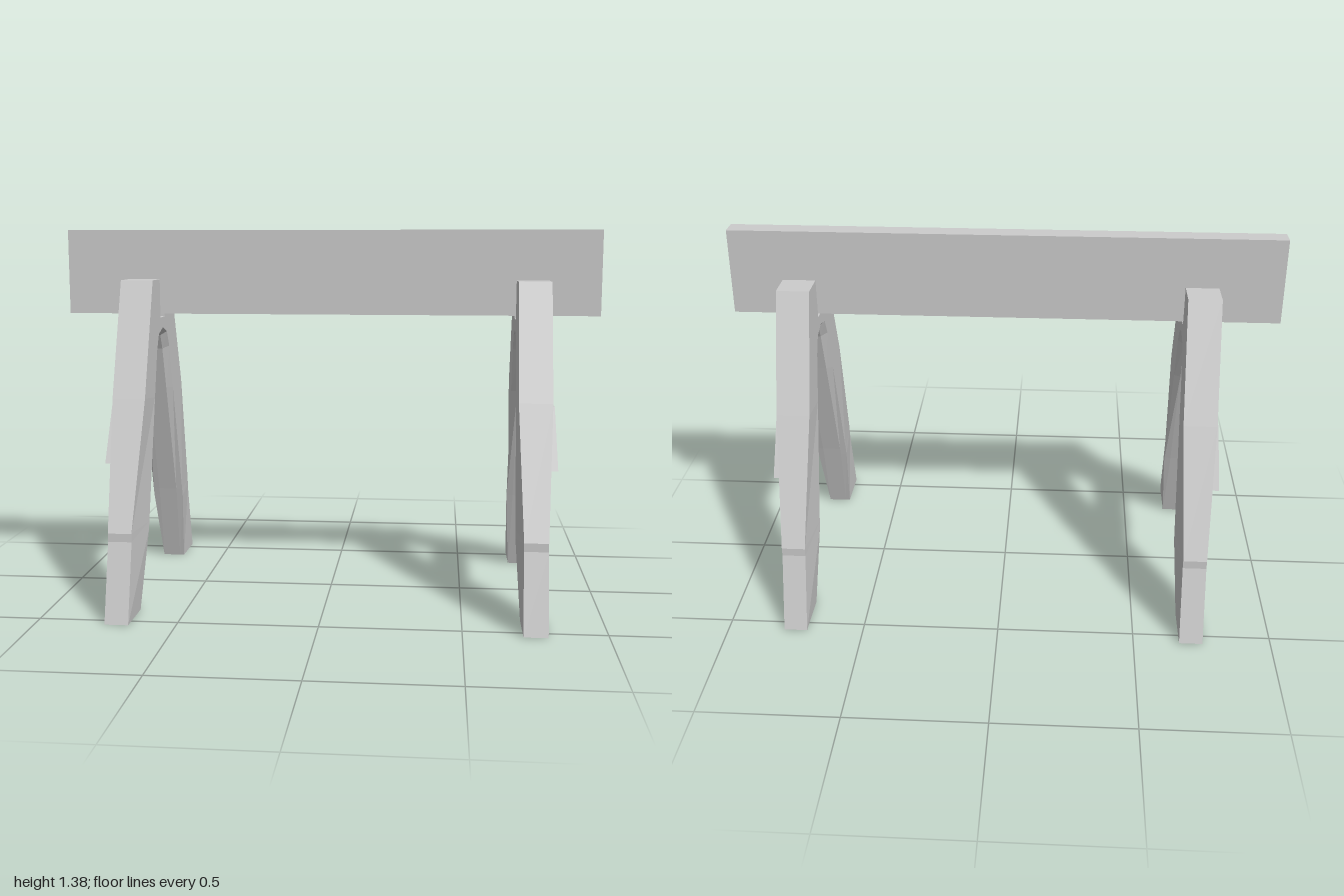
import * as THREE from 'three';

const material = new THREE.MeshStandardMaterial({ color: 0xcccccc, flatShading: true });

// Half of the A-frame, foot to centre: outer edge (z, y, half width), inner edge (z, y, half width), inner ridge (z, y)
const half = [
  { out: [0.545, 0, 0.0425], inn: [0.37, 0, 0.0425], ridge: [0.37, 0] },
  { out: [0.47, 0.28, 0.0425], inn: [0.288, 0.28, 0.06], ridge: [0.286, 0.28] },
  { out: [0.47, 0.31, 0.0425], inn: [0.279, 0.31, 0.06], ridge: [0.277, 0.31] },
  { out: [0.3, 0.77, 0.06], inn: [0.149, 0.755, 0.06], ridge: [0.135, 0.755] },
  { out: [0.145, 1.19, 0.06], inn: [0.1, 0.925, 0.06], ridge: [0.083, 0.915] },
  { out: [0.035, 1.19, 0.06], inn: [0.065, 0.985, 0.06], ridge: [0.055, 0.97] },
  { out: [0.035, 1.045, 0.06], inn: [0.035, 0.994, 0.06], ridge: [0.03, 0.978] },
  { out: [0, 1.045, 0.06], inn: [0, 1.005, 0.06], ridge: [0, 0.987] },
];

// Cross-section loop of one station, on the +z or -z leg
function ring({ out, inn, ridge }, side) {
  const r = inn[2] * 0.6;
  return [
    [out[2], out[1], out[0] * side],
    [inn[2], inn[1], inn[0] * side],
    [r, ridge[1], ridge[0] * side],
    [-r, ridge[1], ridge[0] * side],
    [-inn[2], inn[1], inn[0] * side],
    [-out[2], out[1], out[0] * side],
  ];
}

// Loft foot to foot over the arch, with the beam slot at the top
function frameGeometry() {
  const rings = [
    ...half.map((s) => ring(s, 1)),
    ...half.slice(0, -1).reverse().map((s) => ring(s, -1)),
  ];
  const n = rings[0].length;
  const last = (rings.length - 1) * n;
  const index = [];
  for (let i = 0; i < rings.length - 1; i++) {
    for (let j = 0; j < n; j++) {
      const a = i * n + j;
      const b = i * n + ((j + 1) % n);
      index.push(a, b, b + n, a, b + n, a + n);
    }
  }
  // Soles of the feet
  for (const [p, q, r] of [[0, 1, 4], [0, 4, 5]]) {
    index.push(p, r, q, last + p, last + q, last + r);
  }
  const geometry = new THREE.BufferGeometry();
  geometry.setAttribute('position', new THREE.Float32BufferAttribute(rings.flat(2), 3));
  geometry.setIndex(index);
  const flat = geometry.toNonIndexed();
  flat.computeVertexNormals();
  return flat;
}

// Tapered board, wider and slightly prouder at the bottom
function braceGeometry(side) {
  const geometry = new THREE.BoxGeometry(1, 0.215, 1);
  const p = geometry.attributes.position;
  for (let i = 0; i < p.count; i++) {
    const top = p.getY(i) > 0;
    const outside = p.getX(i) * side > 0;
    p.setX(i, side * (outside ? (top ? 0.068 : 0.078) : 0.045));
    p.setZ(i, Math.sign(p.getZ(i)) * (top ? 0.27 : 0.355));
  }
  geometry.computeVertexNormals();
  return geometry;
}

function addMesh(parent, name, geometry, x, y) {
  const mesh = new THREE.Mesh(geometry, material);
  mesh.name = name;
  mesh.position.set(x, y, 0);
  parent.add(mesh);
}

export function createModel() {
  const model = new THREE.Group();
  model.name = 'sawhorse';

  // Top beam
  addMesh(model, 'beam', new THREE.BoxGeometry(2, 0.315, 0.07), 0, 1.2175);

  // A-frames with their braces on the outside
  const frame = frameGeometry();
  for (const [name, x, side] of [['left', 0.75, 1], ['right', -0.71, -1]]) {
    const trestle = new THREE.Group();
    trestle.name = name + 'Trestle';
    trestle.position.x = x;
    addMesh(trestle, name + 'Legs', frame, 0, 0);
    addMesh(trestle, name + 'Brace', braceGeometry(side), 0, 0.6475);
    model.add(trestle);
  }
  return model;
}
